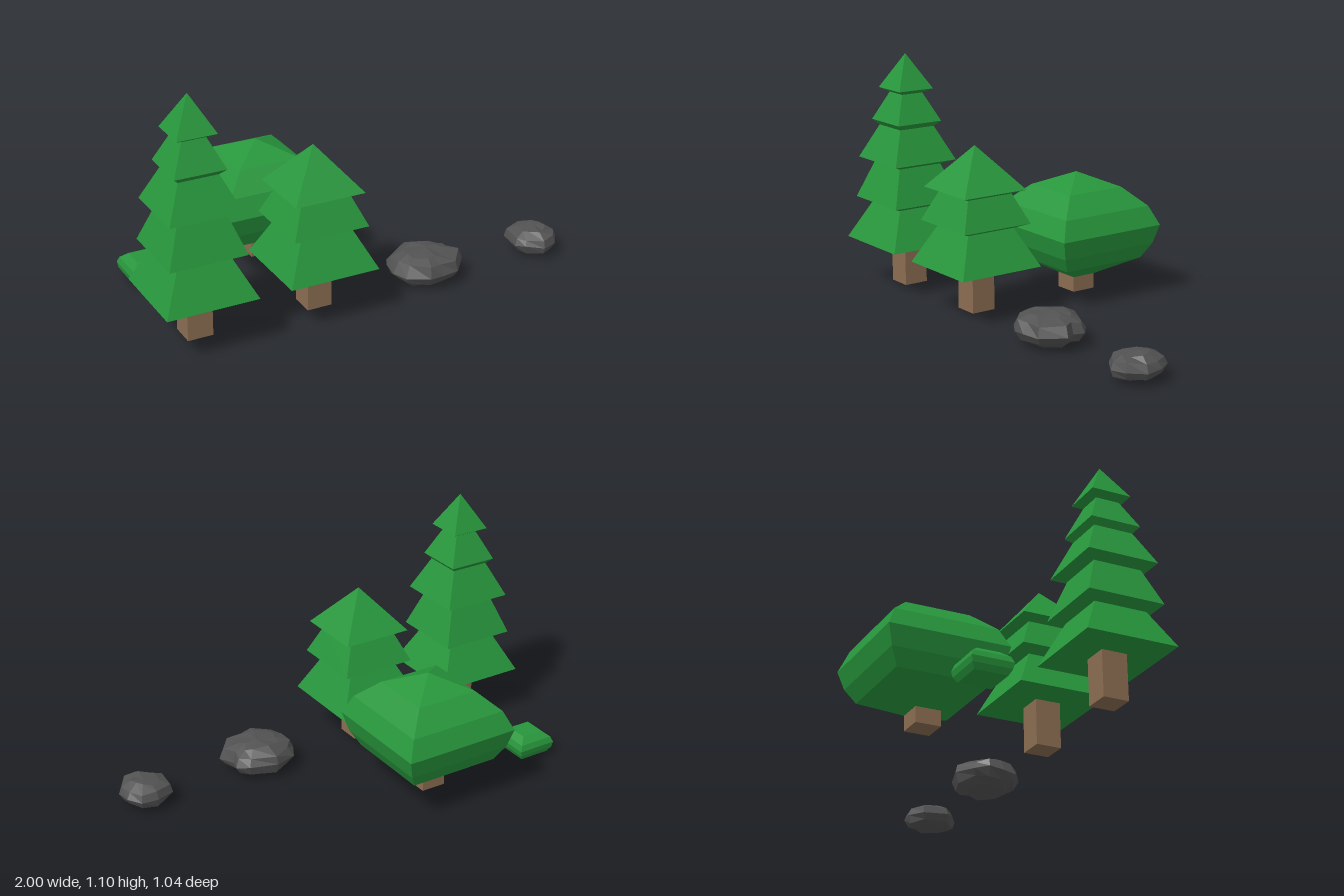
import * as THREE from 'three';

const paint = (color) => new THREE.MeshStandardMaterial({ color, flatShading: true });

// Skins closed rings (clockwise from above, lowest first) and fans each end to a point.
function loft(rings, bottom, top) {
  const pos = [];
  const tri = (...pts) => pts.forEach((p) => pos.push(p[0], p[1], p[2]));
  const n = rings[0].length;
  const last = rings[rings.length - 1];
  for (let i = 0; i < n; i++) {
    const j = (i + 1) % n;
    tri(bottom, rings[0][i], rings[0][j]);
    for (let r = 0; r + 1 < rings.length; r++) {
      const lo = rings[r], up = rings[r + 1];
      tri(lo[i], up[i], up[j]);
      tri(lo[i], up[j], lo[j]);
    }
    tri(top, last[j], last[i]);
  }
  const g = new THREE.BufferGeometry();
  g.setAttribute('position', new THREE.Float32BufferAttribute(pos, 3));
  g.computeVertexNormals();
  return g;
}

// Four-sided foliage from [half width, height] pairs, closed at apex height.
function squareLoft(profile, apex) {
  const rings = profile.map(([h, y]) => [[-h, y, h], [-h, y, -h], [h, y, -h], [h, y, h]]);
  return loft(rings, [0, profile[0][1], 0], [0, apex, 0]);
}

function seeded(seed) {
  return () => {
    seed = (seed * 16807) % 2147483647;
    return seed / 2147483647 - 0.5;
  };
}

// Faceted boulder: one plan outline shrunk at several heights, roughened.
function rockGeometry(outline, cx, cz, height, seed) {
  const rnd = seeded(seed);
  const levels = [[0.58, 0.06], [0.87, 0.22], [1, 0.45], [0.88, 0.76], [0.52, 0.93]];
  const rings = levels.map(([s, t]) => outline.map(([x, z]) => {
    const k = s === 1 ? 1 : s + rnd() * 0.14;
    return [(x - cx) * k, height * (t + rnd() * 0.13), (z - cz) * k];
  }));
  return loft(rings, [0, 0, 0], [0.01, height, -0.01]);
}

export function createModel() {
  const model = new THREE.Group();
  const green = paint(0x27963c), brown = paint(0x8b6d52), stone = paint(0x525252);

  const add = (parent, name, geometry, material) => {
    const mesh = new THREE.Mesh(geometry, material);
    mesh.name = name;
    parent.add(mesh);
    return mesh;
  };

  function tree(name, x, z, trunkTop, profile, apex) {
    const group = new THREE.Group();
    group.name = name;
    group.position.set(x, 0, z);
    const h = trunkTop - 0.015;
    add(group, 'trunk', new THREE.BoxGeometry(0.115, h, 0.115), brown).position.y = 0.015 + h / 2;
    add(group, 'foliage', squareLoft(profile, apex), green);
    model.add(group);
  }

  // Conifers: each tier tapers up, then flares out under the next one
  const lowerTiers = [[0.207, 0.22], [0.12, 0.393], [0.174, 0.415]];
  tree('tallConifer', -0.793, 0.312, 0.22, [
    ...lowerTiers, [0.11, 0.584], [0.162, 0.605],
    [0.09, 0.76], [0.115, 0.785], [0.054, 0.915], [0.09, 0.935],
  ], 1.095);
  tree('shortConifer', -0.235, 0.312, 0.22, [
    ...lowerTiers, [0.115, 0.548], [0.162, 0.567],
  ], 0.76);

  // Broad round-crowned tree
  tree('broadTree', -0.235, -0.247, 0.085, [
    [0.058, 0.085], [0.211, 0.17], [0.25, 0.24], [0.274, 0.327], [0.235, 0.415], [0.147, 0.5],
  ], 0.567);

  // Small bush
  const bush = squareLoft([
    [0.073, 0.015], [0.087, 0.04], [0.092, 0.066], [0.082, 0.092], [0.051, 0.118],
  ], 0.118);
  add(model, 'bush', bush, green).position.set(-0.793, 0, -0.247);

  // Rocks
  const large = [[0.15, 0.33], [0.155, 0.26], [0.187, 0.2], [0.294, 0.157], [0.417, 0.198],
    [0.465, 0.24], [0.45, 0.29], [0.492, 0.348], [0.412, 0.444], [0.33, 0.462], [0.267, 0.46], [0.176, 0.4]];
  const small = [[0.775, 0.348], [0.79, 0.23], [0.88, 0.193], [0.955, 0.203], [0.995, 0.267],
    [1, 0.34], [0.947, 0.412], [0.88, 0.433], [0.807, 0.385]];
  add(model, 'largeRock', rockGeometry(large, 0.315, 0.31, 0.146, 71), stone).position.set(0.315, 0, 0.31);
  add(model, 'smallRock', rockGeometry(small, 0.888, 0.31, 0.118, 1234), stone).position.set(0.888, 0.004, 0.31);

  return model;
}
